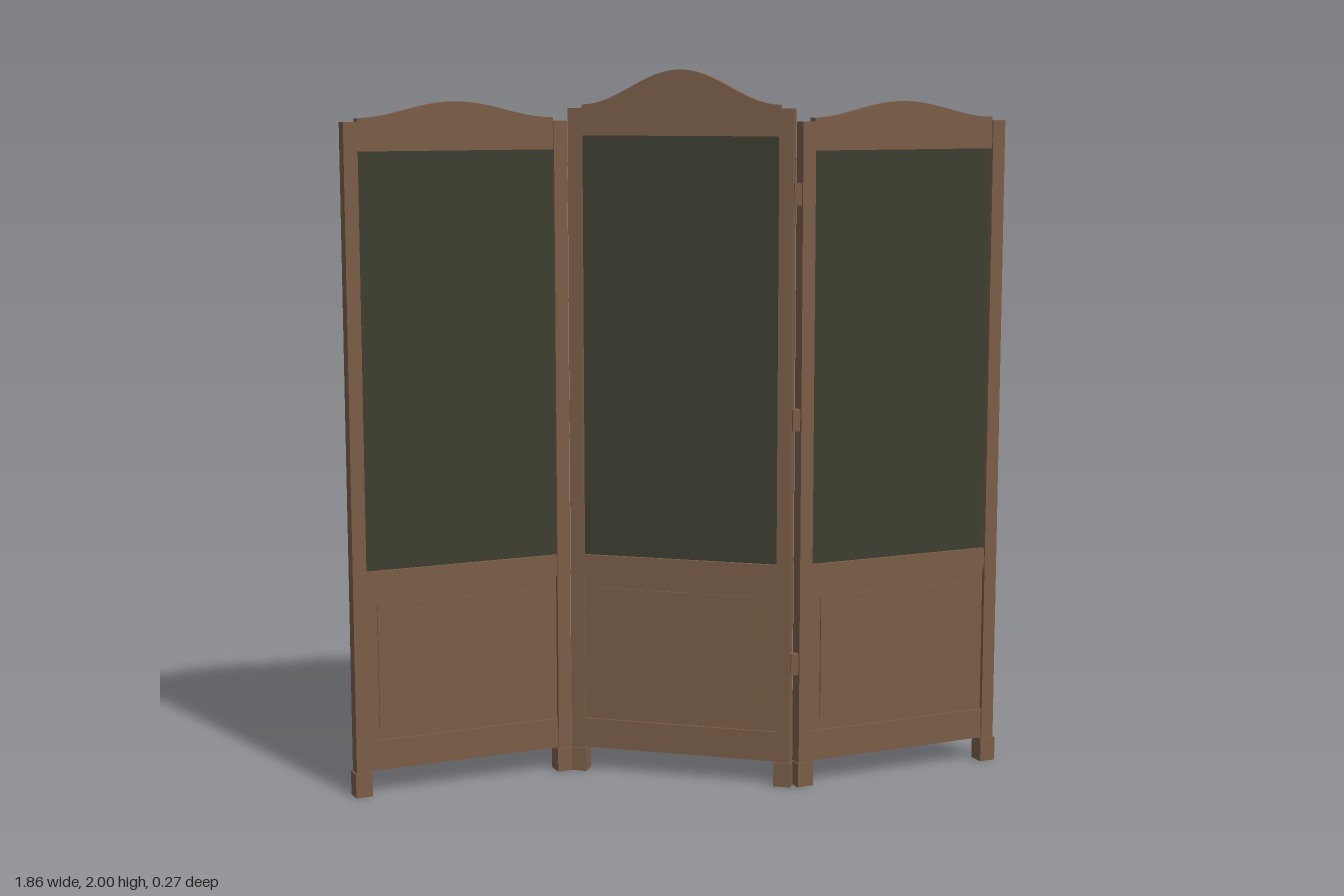
import * as THREE from 'three';

const wood = new THREE.MeshStandardMaterial({ color: 0x7b5e47 });
wood.name = 'walnut wood';
const fabric = new THREE.MeshStandardMaterial({ color: 0x3d3f31 });
fabric.name = 'dark green fabric';

const ANGLE = THREE.MathUtils.degToRad(20);
const HALF = 0.301;          // panel centre to post centre
const POST = 0.039;
const FOOT = 0.048;
const FOOT_H = 0.068;
const INNER = 2 * HALF - POST; // clear width between posts

// Box spanning y0..y1, centred on x and z = 0
function slab(parent, name, material, width, y0, y1, depth, x = 0) {
  const mesh = new THREE.Mesh(new THREE.BoxGeometry(width, y1 - y0, depth), material);
  mesh.name = name;
  mesh.position.set(x, (y0 + y1) / 2, 0);
  parent.add(mesh);
  return mesh;
}

// Bell-shaped crest standing on the top rail
function crest(base, rise) {
  const w = INNER / 2, lip = 0.01, steps = 32, depth = 0.028;
  const shape = new THREE.Shape();
  shape.moveTo(-w, 0);
  shape.lineTo(w, 0);
  for (let i = 0; i <= steps; i++) {
    const t = 1 - (2 * i) / steps;
    shape.lineTo(t * w, lip + (rise - lip) * (0.5 + 0.5 * Math.cos(Math.PI * t)));
  }
  shape.closePath();
  const geometry = new THREE.ExtrudeGeometry(shape, { depth, bevelEnabled: false });
  geometry.translate(0, base, -depth / 2);
  const mesh = new THREE.Mesh(geometry, wood);
  mesh.name = 'crest';
  return mesh;
}

// One leaf of the screen
function leaf(name, top, fabricTop, rise) {
  const group = new THREE.Group();
  group.name = name;
  for (const side of [-1, 1]) {
    slab(group, 'post', wood, POST, FOOT_H, top, POST, side * HALF);
    slab(group, 'foot', wood, FOOT, 0, FOOT_H, FOOT, side * HALF);
  }
  slab(group, 'bottomRail', wood, INNER, 0.07, 0.155, 0.03);
  slab(group, 'middleRail', wood, INNER, 0.575, 0.635, 0.03);
  slab(group, 'topRail', wood, INNER, fabricTop, top, 0.03);
  slab(group, 'lowerPanel', wood, INNER, 0.155, 0.575, 0.016);
  slab(group, 'raisedField', wood, INNER - 0.064, 0.19, 0.54, 0.024);
  slab(group, 'fabricPanel', fabric, INNER, 0.635, fabricTop, 0.012);
  group.add(crest(top, rise));
  return group;
}

export function createModel() {
  const screen = new THREE.Group();
  screen.name = 'foldingScreen';

  const centre = leaf('centreLeaf', 1.895, 1.82, 0.105);
  centre.rotation.y = -ANGLE;
  screen.add(centre);

  for (const side of [-1, 1]) {
    const wing = leaf(side > 0 ? 'leftLeaf' : 'rightLeaf', 1.86, 1.782, 0.054);
    wing.rotation.y = ANGLE;
    wing.position.x = side * 0.617;
    screen.add(wing);

    // Hinges on the outside of each fold
    for (const y of [0.355, 1.045, 1.665]) {
      const hinge = slab(screen, 'hinge', wood, 0.02, y - 0.03, y + 0.03, 0.026, side * 0.3085);
      hinge.position.z = side * 0.122;
    }
  }
  return screen;
}
